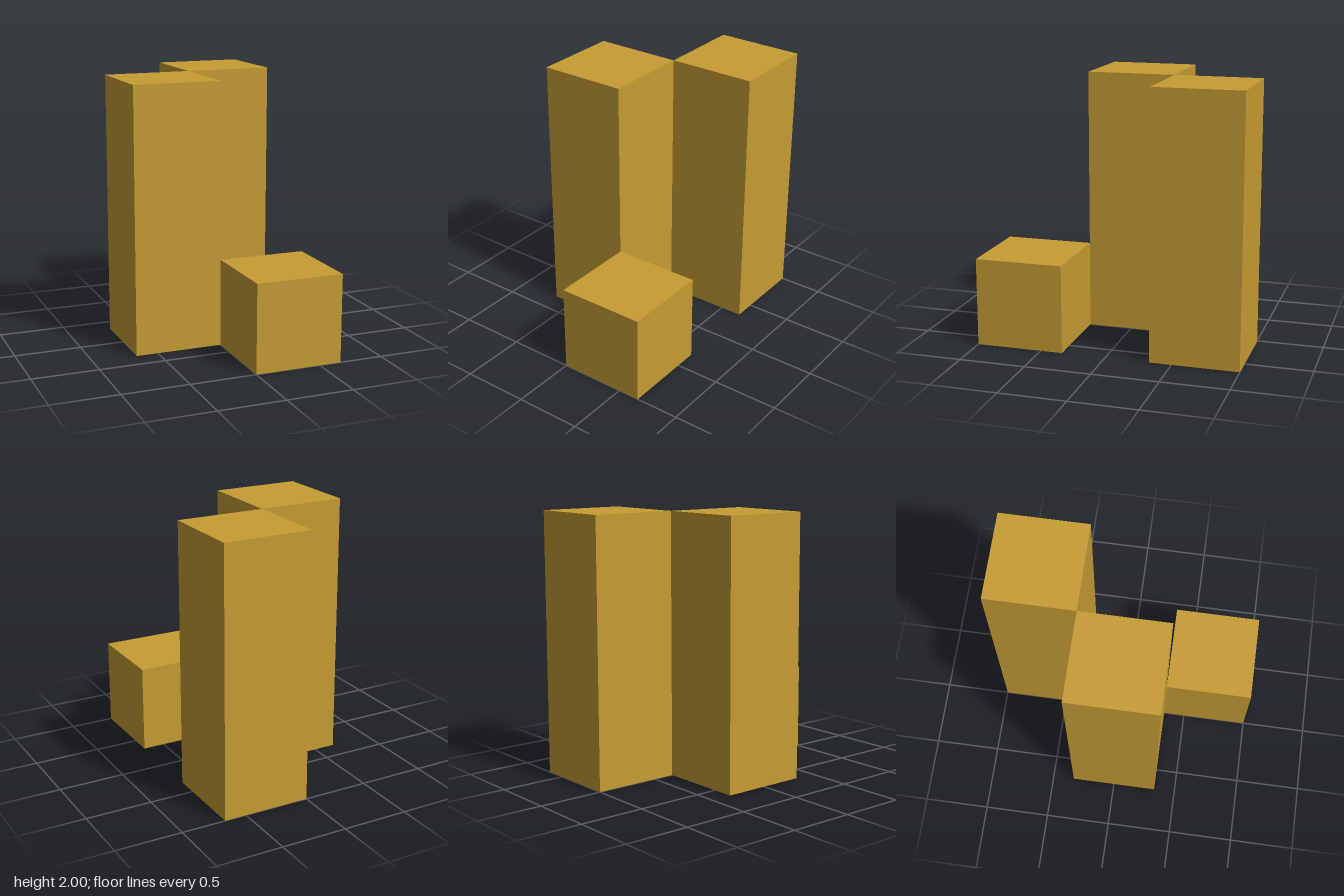
import * as THREE from 'three';

export function createModel() {
  const group = new THREE.Group();
  group.name = 'blockPillars';

  const ochre = new THREE.MeshStandardMaterial({ color: 0xc69c34 });
  ochre.name = 'ochre';

  const unit = 2 / 3; // side of one block

  // A square column standing on the ground, a whole number of blocks high
  function addColumn(name, blocks, x, z) {
    const height = blocks * unit;
    const mesh = new THREE.Mesh(new THREE.BoxGeometry(unit, height, unit), ochre);
    mesh.name = name;
    mesh.position.set(x * unit, height / 2, z * unit);
    group.add(mesh);
  }

  // Columns touch corner to corner in a zigzag
  addColumn('frontCube', 1, 0.5, 1);
  addColumn('middlePillar', 3, -0.5, 0);
  addColumn('backPillar', 3, 0.5, -1);

  return group;
}
